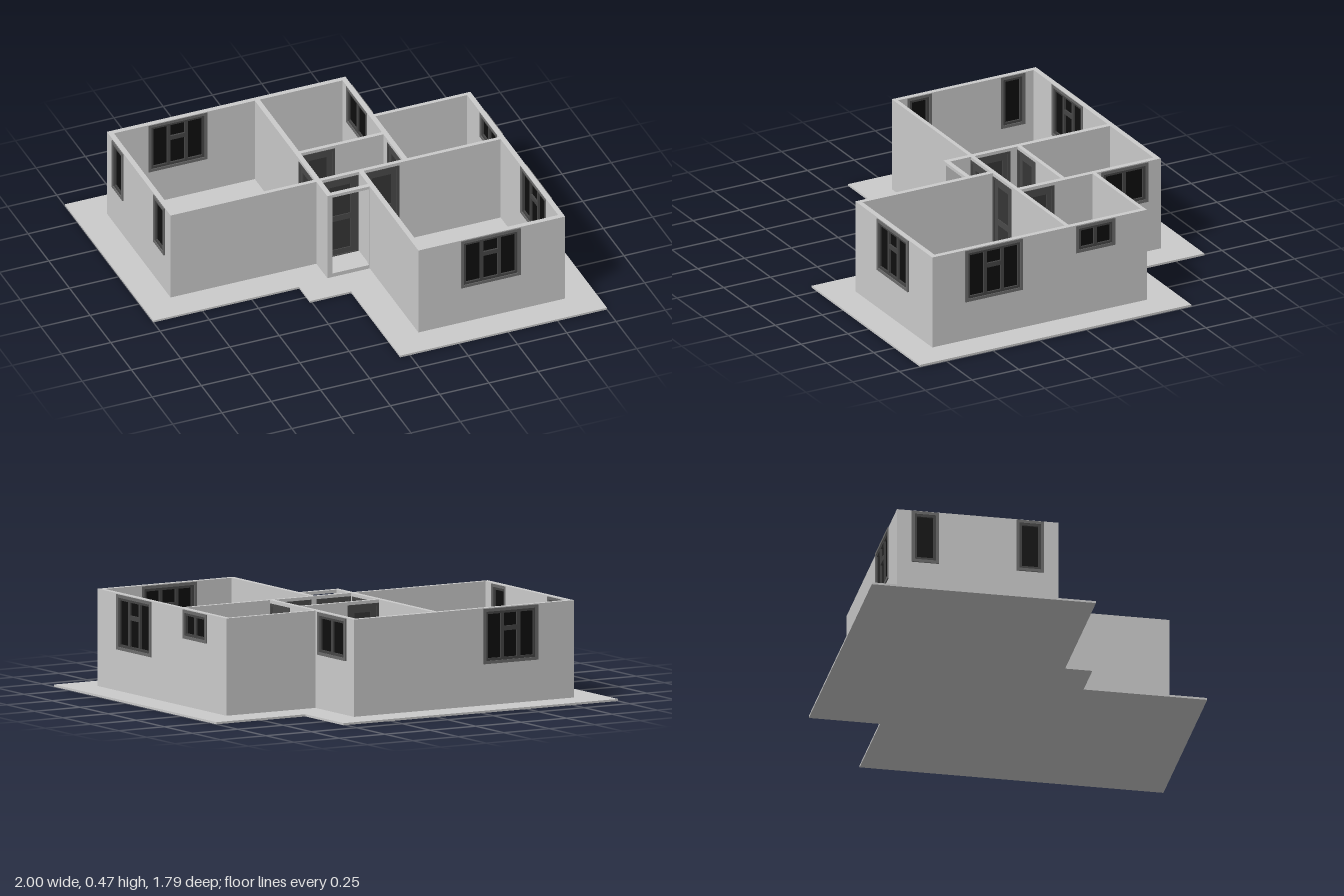
import * as THREE from 'three';

const mat = (color) => new THREE.MeshStandardMaterial({ color, flatShading: true });
const wallMat = mat(0xcccccc), frameMat = mat(0x6c6c6c), sashMat = mat(0x454545);
const glassMat = mat(0x0e0e0e), doorMat = mat(0x4a4a4a), panelMat = mat(0x363636);
const TOP = 0.47, BASE = 0.01, FLOOR = 0.03;

function mesh(name, geometry, material, parent) {
  const m = new THREE.Mesh(geometry, material);
  m.name = name;
  parent.add(m);
  return m;
}

// Rectangle [x0, x1, y0, y1] as a path
function rect([x0, x1, y0, y1], Type = THREE.Path) {
  return new Type([[x0, y0], [x1, y0], [x1, y1], [x0, y1]].map(([x, y]) => new THREE.Vector2(x, y)));
}

// Upright plate with rectangular holes, between depths z0 and z1
function plate(name, outer, holes, z0, z1, material, parent) {
  const shape = rect(outer, THREE.Shape);
  holes.forEach((h) => shape.holes.push(rect(h)));
  const g = new THREE.ExtrudeGeometry(shape, { depth: z1 - z0, bevelEnabled: false });
  return mesh(name, g.translate(0, 0, z0), material, parent);
}

const inset = ([a, b, c, d], t) => [a + t, b - t, c + t, d - t];

// Window with one, two or three lights; the middle one of three has a small top pane
function addWindow(r, lights, z0, z1, parent) {
  const group = new THREE.Group();
  group.name = 'window';
  parent.add(group);
  const inner = inset(r, 0.014), open = inset(r, 0.026);
  plate('windowFrame', r, [inner], z0, z1, frameMat, group);
  const bar = 0.017, w = (open[1] - open[0] - bar * (lights - 1)) / lights;
  const panes = [];
  for (let i = 0; i < lights; i++) {
    const x0 = open[0] + i * (w + bar), x1 = x0 + w;
    if (lights === 3 && i === 1) {
      const rail = open[2] + (open[3] - open[2]) * 0.6;
      panes.push([x0, x1, open[2], rail], [x0, x1, rail + 0.022, open[3]]);
    } else panes.push([x0, x1, open[2], open[3]]);
  }
  plate('windowSash', inner, panes, z0 + 0.004, z1 - 0.004, sashMat, group);
  const mid = (z0 + z1) / 2;
  plate('windowGlass', inset(r, 0.02), [], mid - 0.003, mid + 0.003, glassMat, group);
}

// Door with casing, leaf and two recessed panels on each face
function addDoor(r, z0, z1, parent) {
  const group = new THREE.Group();
  group.name = 'door';
  parent.add(group);
  const leaf = inset(r, 0.012);
  leaf[2] = r[2] + 0.004;
  plate('doorFrame', r, [leaf], z0 - 0.003, z1 + 0.003, doorMat, group);
  const [x0, x1, y0, y1] = inset(leaf, 0.028);
  const split = y0 + (y1 - y0) * 0.45;
  const panels = [[x0, x1, y0, split], [x0, x1, split + 0.03, y1]];
  plate('doorLeaf', leaf, panels, z0 + 0.002, z1 - 0.002, doorMat, group);
  panels.forEach((p) => plate('doorPanel', p, [], z0 + 0.006, z1 - 0.006, panelMat, group));
}

// Wall over a plan rectangle; openings are given along its length
function addWall(parent, name, [x0, x1, z0, z1], openings = [], out = 1) {
  const wall = new THREE.Group();
  wall.name = name;
  parent.add(wall);
  const alongX = x1 - x0 > z1 - z0;
  const thick = alongX ? z1 - z0 : x1 - x0;
  const start = alongX ? x0 : z0, end = alongX ? x1 : z1;
  if (alongX) wall.position.z = z0;
  else {
    wall.position.x = x1;
    wall.rotation.y = -Math.PI / 2;
  }
  const rects = openings.map((o) => [o.a, o.b, o.y0, o.y1]);
  plate('wallPanel', [start, end, BASE, TOP], rects, 0, thick, wallMat, wall);
  openings.forEach((o, i) => {
    if (o.lights) {
      const proud = [out < 0 ? -0.006 : -0.001, thick + (out > 0 ? 0.006 : 0.001)];
      addWindow(rects[i], o.lights, proud[0], proud[1], wall);
    } else if (o.door) addDoor(rects[i], 0, thick, wall);
  });
}

// Flat slab from a plan outline of [x, z] corners
function addSlab(parent, name, corners, y0, y1) {
  const shape = new THREE.Shape(corners.map(([x, z]) => new THREE.Vector2(x, -z)));
  const g = new THREE.ExtrudeGeometry(shape, { depth: y1 - y0, bevelEnabled: false });
  mesh(name, g.rotateX(-Math.PI / 2).translate(0, y0, 0), wallMat, parent);
}

export function createModel() {
  const house = new THREE.Group();
  house.name = 'house';
  const win = (a, b, lights, y0 = 0.205) => ({ a, b, lights, y0, y1: 0.466 });
  const door = (a, b) => ({ a, b, door: true, y0: FLOOR, y1: 0.455 });

  // Ground slab and raised indoor floor
  addSlab(house, 'groundSlab', [[-1, -0.9], [0.51, -0.9], [0.51, -0.56], [1, -0.56], [1, 0.89],
    [-0.05, 0.89], [-0.05, 0.3], [-0.26, 0.3], [-0.26, 0.17], [-1, 0.17]], 0, BASE);
  addSlab(house, 'indoorFloor', [[-0.84, -0.74], [0.35, -0.74], [0.35, -0.395], [0.84, -0.395],
    [0.84, 0.73], [0.115, 0.73], [0.115, 0.14], [-0.1, 0.14], [-0.1, 0.01], [-0.84, 0.01]], BASE, FLOOR);

  // Walls running left to right
  addWall(house, 'backWall', [-0.85, 0.36, -0.75, -0.725], [win(-0.65, -0.35, 3)], -1);
  addWall(house, 'sideRoomBackWall', [0.36, 0.85, -0.405, -0.385]);
  addWall(house, 'hallBackWall', [-0.085, 0.335, -0.25, -0.23], [door(-0.083, 0.088)]);
  addWall(house, 'middleWall', [-0.85, 0.825, 0, 0.02], [door(-0.083, 0.103), door(0.133, 0.31)]);
  addWall(house, 'porchFrontWall', [-0.11, 0.105, 0.13, 0.153],
    [{ a: -0.085, b: 0.102, y0: FLOOR, y1: 0.455 }]);
  addWall(house, 'frontWall', [0.105, 0.85, 0.717, 0.742], [win(0.32, 0.622, 3)], 1);

  // Walls running back to front
  addWall(house, 'rightWall', [-0.85, -0.825, -0.725, 0],
    [win(-0.68, -0.55, 1), win(-0.18, -0.05, 1)], 1);
  addWall(house, 'innerWall', [-0.11, -0.085, -0.725, 0], [door(-0.19, -0.015)]);
  addWall(house, 'backRoomSideWall', [0.335, 0.36, -0.725, 0],
    [win(-0.68, -0.43, 2, 0.265), door(-0.18, -0.005)], -1);
  addWall(house, 'leftWall', [0.825, 0.85, -0.385, 0.717],
    [win(-0.235, -0.025, 2, 0.33), win(0.26, 0.567, 3)], -1);
  addWall(house, 'frontRoomSideWall', [0.105, 0.13, 0.02, 0.717]);
  addWall(house, 'porchSideWall', [-0.11, -0.085, 0.02, 0.13]);
  return house;
}
